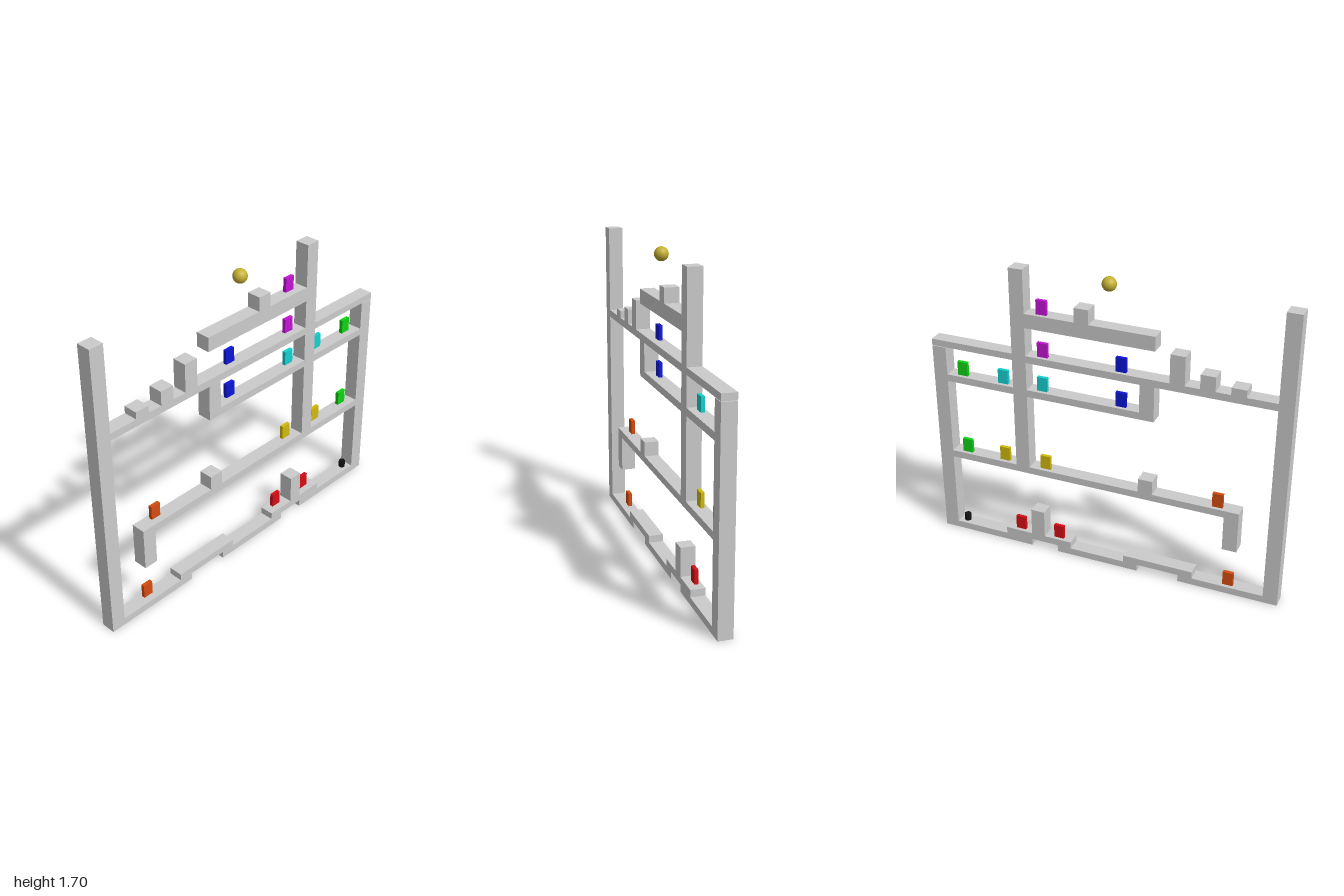
import * as THREE from 'three';

const DEPTH = 0.08;

export function createModel() {
  const model = new THREE.Group();
  const grey = new THREE.MeshStandardMaterial({ color: 0xcccccc });

  // Box given by its x and y limits
  function slab(name, x0, x1, y0, y1, depth = DEPTH, z = 0, material = grey) {
    const mesh = new THREE.Mesh(new THREE.BoxGeometry(x1 - x0, y1 - y0, depth), material);
    mesh.position.set((x0 + x1) / 2, (y0 + y1) / 2, z);
    mesh.name = name;
    model.add(mesh);
  }

  // Upright walls
  slab('rightWall', -1, -0.92, 0, 1.68);
  slab('middleWall', 0.44, 0.52, 0.52, 1.68);
  slab('leftWall', 0.92, 1, 0, 1.16);

  // Top floor, with a slightly thinner lid over the left room
  slab('topFloor', -0.92, 0.44, 1.16, 1.2);
  slab('lid', 0.52, 1, 1.163, 1.2);
  slab('upperPlatform', -0.28, 0.44, 1.36, 1.44);
  slab('platformBlock', 0.08, 0.16, 1.44, 1.52);

  // Rising steps on the top floor
  [[-0.76, 0.04], [-0.6, 0.08], [-0.44, 0.16]].forEach(([x, h]) =>
    slab('step', x, x + 0.08, 1.2, 1.2 + h));

  // Small rooms below the top floor
  slab('upperShelfRight', -0.28, 0.44, 0.96, 1);
  slab('upperShelfLeft', 0.52, 0.92, 0.96, 1);
  slab('shelfEndWall', -0.28, -0.2, 1, 1.16);

  // Middle floor with hanging wall and block
  slab('middleFloor', -0.76, 0.92, 0.48, 0.52);
  slab('hangingWall', -0.76, -0.68, 0.28, 0.48);
  slab('middleBlock', -0.28, -0.2, 0.52, 0.6);

  // Ground floor in three pieces, bridged by raised pieces
  [[-0.92, -0.44], [-0.2, 0.28], [0.44, 0.92]].forEach(([a, b]) =>
    slab('groundFloor', a, b, 0, 0.04));
  [[-0.52, -0.12], [0.2, 0.6]].forEach(([a, b]) =>
    slab('raisedFloor', a, b, 0.04, 0.08));
  slab('groundBlock', 0.36, 0.44, 0.08, 0.24);

  // Coloured door pairs: centre x and floor height of each door
  const doors = [
    ['orangeDoor', 0xd64d10, [[-0.636, 0.52], [-0.717, 0.04]]],
    ['blueDoor', 0x0c16d6, [[-0.09, 1.2], [-0.09, 1]]],
    ['purpleDoor', 0xc414d6, [[0.352, 1.44], [0.352, 1.2]]],
    ['cyanDoor', 0x14d2d2, [[0.358, 1], [0.59, 1]]],
    ['greenDoor', 0x10d214, [[0.835, 1], [0.835, 0.52]]],
    ['yellowDoor', 0xd2ba0c, [[0.352, 0.52], [0.6, 0.52]]],
    ['redDoor', 0xd60e14, [[0.28, 0.08], [0.518, 0.08]]],
  ];
  for (const [name, color, places] of doors) {
    const material = new THREE.MeshStandardMaterial({ color });
    for (const [x, y] of places) slab(name, x - 0.029, x + 0.029, y, y + 0.08, 0.02, -0.01, material);
  }

  // Floating ball
  const ball = new THREE.Mesh(
    new THREE.SphereGeometry(0.038, 24, 16),
    new THREE.MeshStandardMaterial({ color: 0xc4b030 }));
  ball.position.set(-0.018, 1.662, 0);
  ball.name = 'ball';
  model.add(ball);

  // Goal hole marker on the ground floor
  const goal = new THREE.Mesh(
    new THREE.CylinderGeometry(0.019, 0.019, 0.04, 24),
    new THREE.MeshStandardMaterial({ color: 0x111111 }));
  goal.position.set(0.877, 0.06, 0);
  goal.name = 'goal';
  model.add(goal);

  return model;
}
